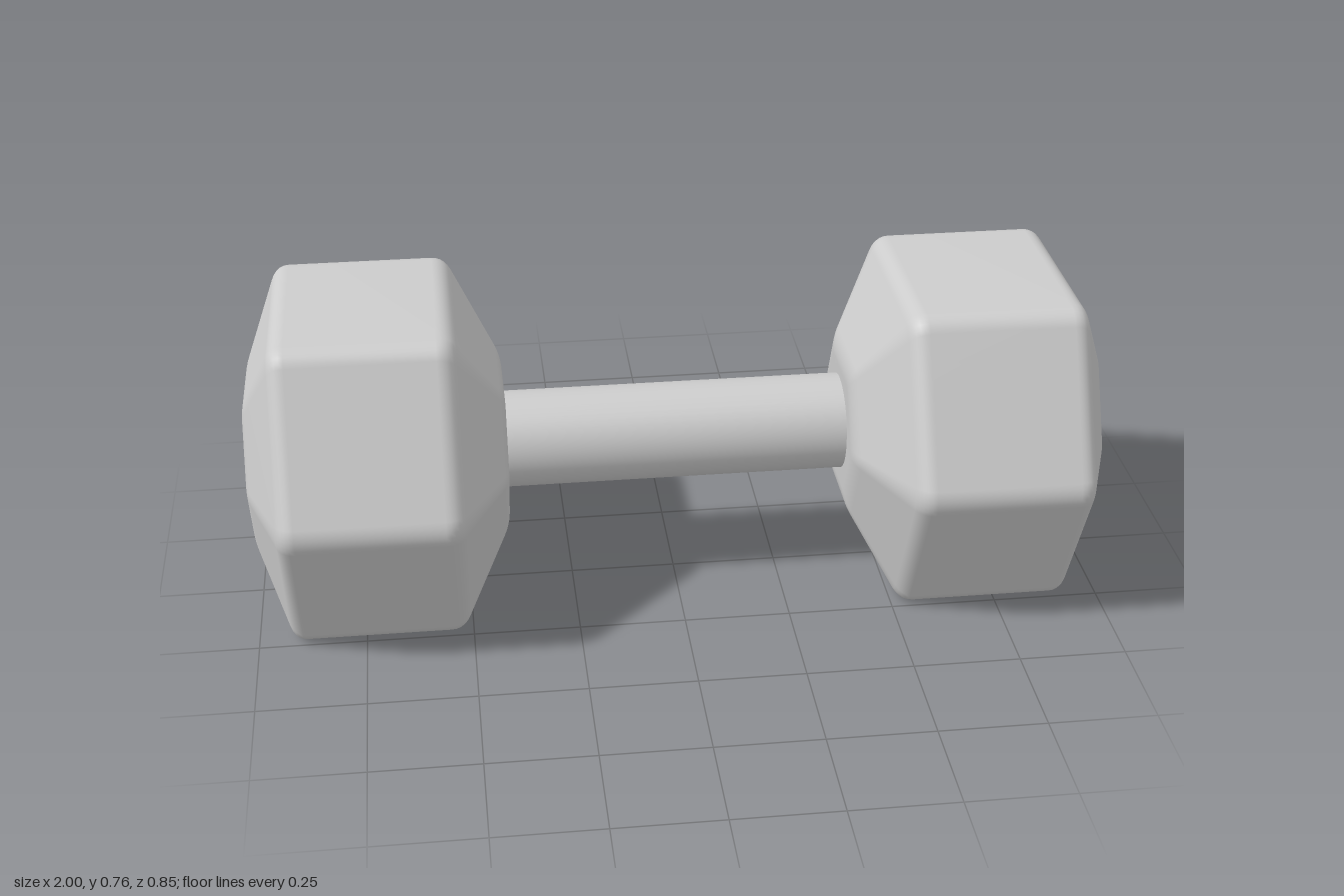
import * as THREE from 'three';

const CENTRE_Y = 0.383, HALF = 0.38;

// Replaces each corner of a polyline by a small curve
function roundCorners(points, radius, closed, steps = 5) {
  const out = [], n = points.length;
  points.forEach((p, i) => {
    if (!closed && (i === 0 || i === n - 1)) return out.push(p.clone());
    const toward = (q) => p.clone().add(q.clone().sub(p).setLength(radius));
    const curve = new THREE.QuadraticBezierCurve(
      toward(points[(i + n - 1) % n]), p, toward(points[(i + 1) % n]));
    out.push(...curve.getPoints(steps));
  });
  return out;
}

const vectors = (list) => list.map(([a, b]) => new THREE.Vector2(a, b));

// Hexagonal head lofted along x, centred on its own height
function headGeometry() {
  // Section as (z, y), running anticlockwise
  const section = roundCorners(vectors([
    [0.432, 0], [0.242, HALF], [-0.242, HALF],
    [-0.432, 0], [-0.242, -HALF], [0.242, -HALF],
  ]), 0.035, true);
  // Profile as (x, half height), from the inner face to the outer face
  const profile = roundCorners(vectors([
    [0.4, 0], [0.4, 0.17], [0.522, HALF], [0.915, HALF], [1, 0.17], [1, 0],
  ]), 0.03, false);

  const positions = [], indices = [], n = section.length;
  for (const { x, y: size } of profile) {
    for (const p of section) positions.push(x, p.y * size / HALF, p.x * size / HALF);
  }
  for (let i = 0; i < profile.length - 1; i++) {
    for (let j = 0; j < n; j++) {
      const a = i * n + j, b = i * n + (j + 1) % n;
      indices.push(a, b, a + n, b, b + n, a + n);
    }
  }
  const geometry = new THREE.BufferGeometry();
  geometry.setAttribute('position', new THREE.Float32BufferAttribute(positions, 3));
  geometry.setIndex(indices);
  // Section order decides the winding: make the faces point outward
  const [a, b, c] = indices.slice(indices.length / 2, indices.length / 2 + 3)
    .map((k) => new THREE.Vector3().fromArray(positions, k * 3));
  const normal = b.clone().sub(a).cross(c.clone().sub(a));
  if (normal.y * a.y + normal.z * a.z < 0) geometry.setIndex(indices.reverse());
  geometry.computeVertexNormals();
  return geometry;
}

export function createModel() {
  const model = new THREE.Group();
  model.name = 'dumbbell';
  const grey = new THREE.MeshStandardMaterial({ color: 0xcccccc });
  grey.name = 'light grey';

  // Two identical heads, turned to face away from each other
  const geometry = headGeometry();
  for (const [name, turn] of [['leftHead', 0], ['rightHead', Math.PI]]) {
    const head = new THREE.Mesh(geometry, grey);
    head.name = name;
    head.rotation.y = turn;
    head.position.y = CENTRE_Y;
    model.add(head);
  }

  // Straight round handle
  const handle = new THREE.Mesh(new THREE.CylinderGeometry(0.114, 0.114, 0.86, 48), grey);
  handle.name = 'handle';
  handle.rotation.z = Math.PI / 2;
  handle.position.y = CENTRE_Y + 0.002;
  model.add(handle);

  model.position.y = HALF - CENTRE_Y;
  const root = new THREE.Group();
  root.name = 'model';
  root.add(model);
  return root;
}
